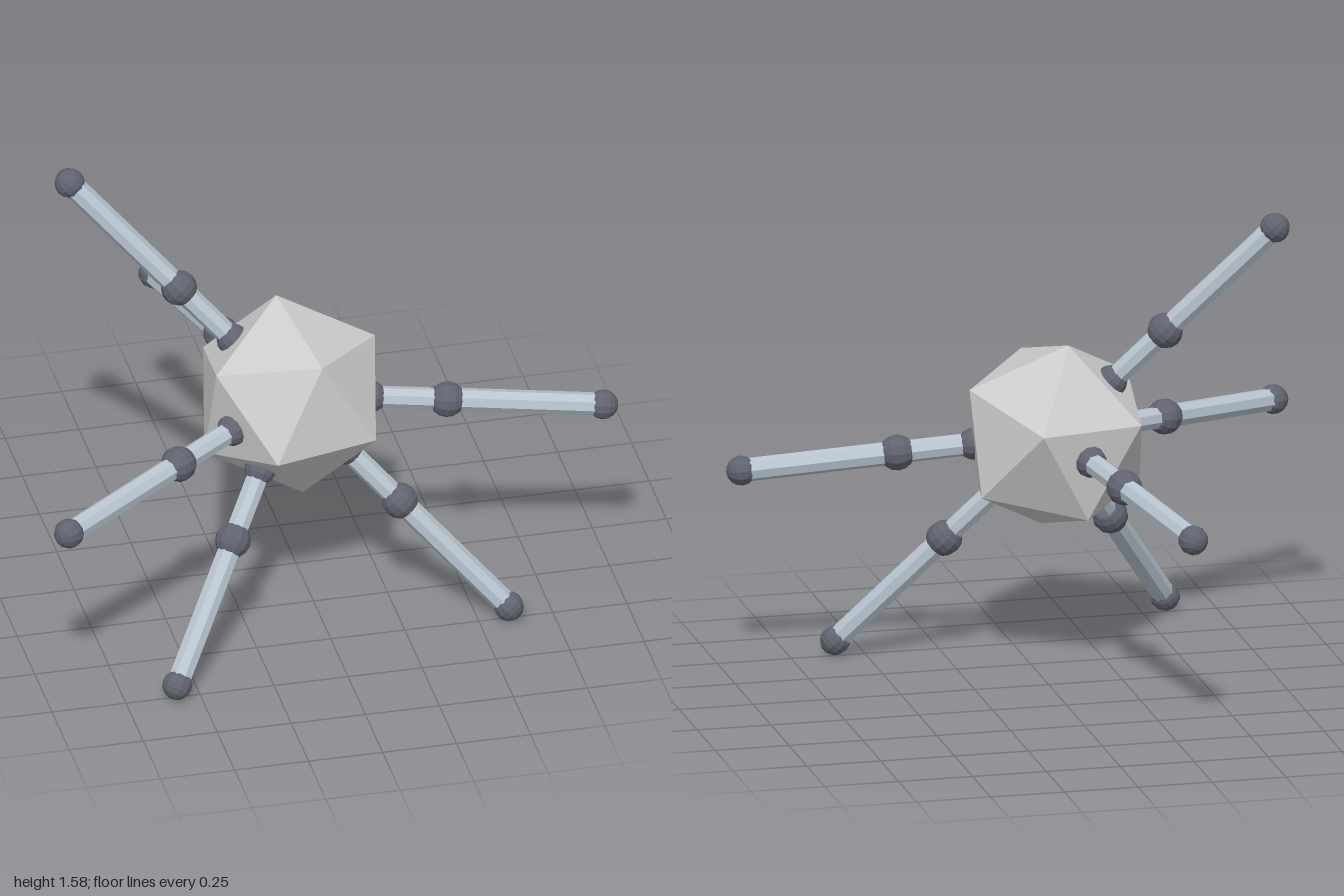
import * as THREE from 'three';

const CENTER = new THREE.Vector3(-0.075, 0.795, 0.225);
const HIP = 0.268, KNEE = 0.523, TIP = 1.04; // distances from the body centre

// End point of every leg, all radiating from the body centre
const LEGS = {
  upperLeg: [-0.75, 1.53, -0.05],
  rightLeg: [-0.95, 0.7, 0.78],
  lowerRightLeg: [-0.58, 0.055, 0.76],
  lowerLeftLeg: [0.6, 0.055, 0.51],
  leftLeg: [0.95, 0.7, 0.37],
  rearLeg: [-0.3, 0.7, -0.79],
};

const material = (color) => new THREE.MeshStandardMaterial({ color, flatShading: true });

export function createModel() {
  const model = new THREE.Group();
  model.name = 'radialWalker';
  const bodyMat = material(0xcccccc);
  const rodMat = material(0xb8c4d0);
  const jointMat = material(0x5f6470);

  // Tilted icosahedral body: one edge runs between the corner directions a and b
  const a = new THREE.Vector3(-0.025, 0.325, -0.095);
  const b = new THREE.Vector3(0.055, 0.235, 0.25);
  const yAxis = a.clone().add(b).normalize();
  const zAxis = b.clone().sub(a).cross(yAxis).normalize();
  const xAxis = yAxis.clone().cross(zAxis);
  const body = new THREE.Mesh(new THREE.IcosahedronGeometry(0.341, 0), bodyMat);
  body.name = 'body';
  body.quaternion.setFromRotationMatrix(new THREE.Matrix4().makeBasis(xAxis, yAxis, zAxis));
  body.position.copy(CENTER);
  model.add(body);

  // Leg parts are built along +y, then the whole leg is turned outward
  const up = new THREE.Vector3(0, 1, 0);
  for (const [name, tip] of Object.entries(LEGS)) {
    const leg = new THREE.Group();
    leg.name = name;
    const ball = (part, radius, at) => {
      const mesh = new THREE.Mesh(new THREE.SphereGeometry(radius, 12, 8), jointMat);
      mesh.name = part;
      mesh.position.y = at;
      leg.add(mesh);
    };
    const rod = (part, radius, from, to) => {
      const mesh = new THREE.Mesh(new THREE.CylinderGeometry(radius, radius, to - from, 8), rodMat);
      mesh.name = part;
      mesh.position.y = (from + to) / 2;
      leg.add(mesh);
    };
    ball('hip', 0.054, HIP);
    rod('upperRod', 0.037, HIP, KNEE);
    ball('knee', 0.06, KNEE);
    rod('lowerRod', 0.039, KNEE, TIP);
    ball('foot', 0.05, TIP);

    const direction = new THREE.Vector3(...tip).sub(CENTER).normalize();
    leg.quaternion.setFromUnitVectors(up, direction);
    leg.position.copy(CENTER);
    model.add(leg);
  }
  return model;
}
